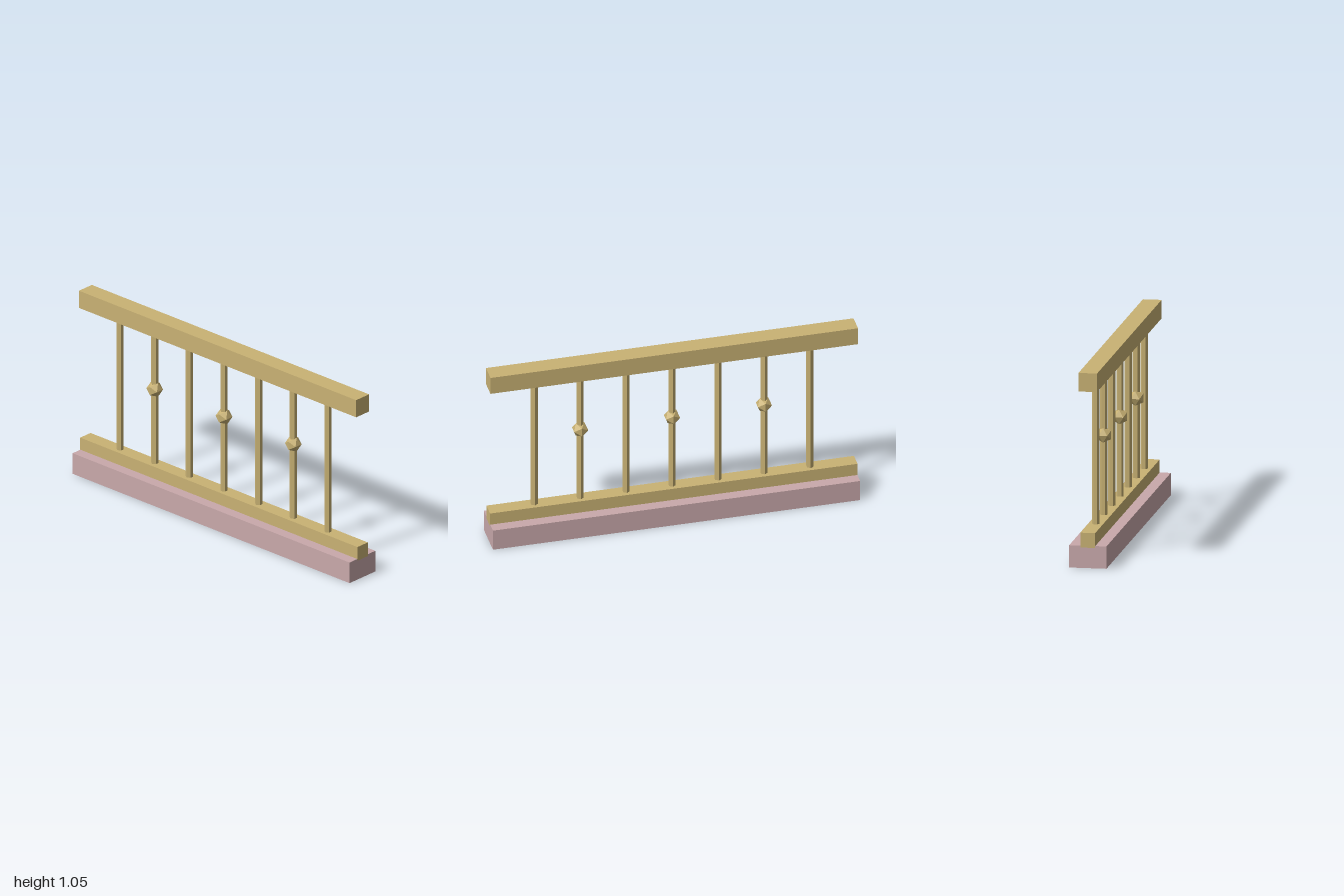
import * as THREE from 'three';

export function createModel() {
  const model = new THREE.Group();
  model.name = 'railing';

  const wood = new THREE.MeshStandardMaterial({ color: 0xc9b274, flatShading: true });
  wood.name = 'tan wood';
  const stone = new THREE.MeshStandardMaterial({ color: 0xc9a9ab, flatShading: true });
  stone.name = 'pink stone';

  function add(name, geometry, material, x, y) {
    const mesh = new THREE.Mesh(geometry, material);
    mesh.name = name;
    mesh.position.set(x, y, 0);
    model.add(mesh);
  }

  // Plinth and the two rails; the plinth is a hair shorter so the ends do not coincide
  add('plinth', new THREE.BoxGeometry(1.998, 0.12, 0.2), stone, 0, 0.06);
  add('bottomRail', new THREE.BoxGeometry(2, 0.08, 0.08), wood, 0, 0.15);
  add('topRail', new THREE.BoxGeometry(2, 0.1, 0.1), wood, 0, 1);

  // Seven hexagonal balusters, every second one with a faceted knob
  const baluster = new THREE.CylinderGeometry(0.02, 0.02, 0.78, 6);
  const knob = new THREE.IcosahedronGeometry(0.045);
  for (let i = -3; i <= 3; i++) {
    const x = i * 0.25;
    add('baluster', baluster, wood, x, 0.57);
    if (i % 2 === 0) add('knob', knob, wood, x, 0.62);
  }
  // Knobs sit on the second, fourth and sixth balusters
  return model;
}
